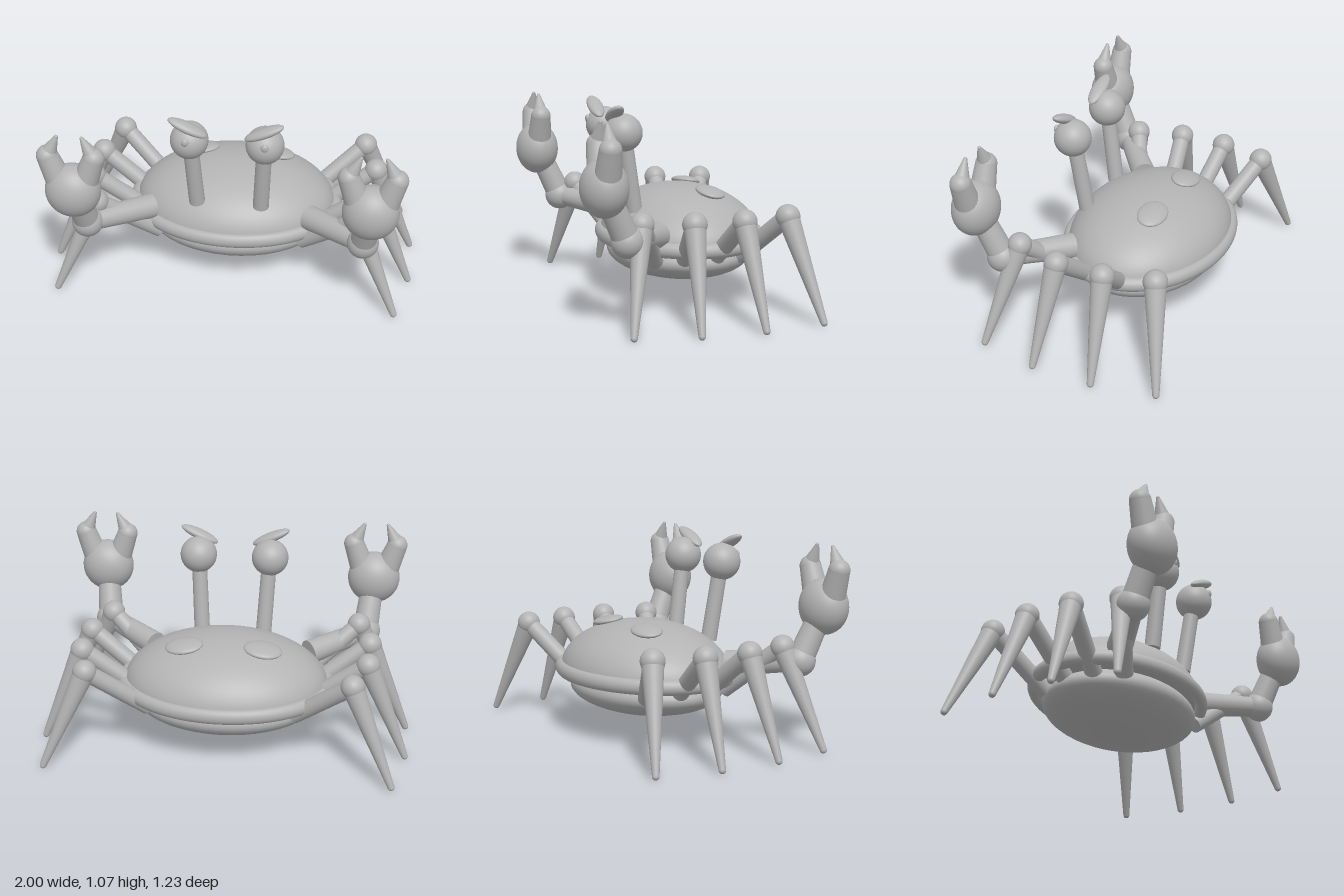
import * as THREE from 'three';

const V = (x, y, z) => new THREE.Vector3(x, y, z);

export function createModel() {
  const crab = new THREE.Group();
  crab.name = 'crab';
  const shellGrey = new THREE.MeshStandardMaterial({ color: 0xb3b3b3 });
  shellGrey.name = 'shell grey';

  function add(parent, name, geometry) {
    const mesh = new THREE.Mesh(geometry, shellGrey);
    mesh.name = name;
    parent.add(mesh);
    return mesh;
  }

  // Ellipsoid with the given centre and radii
  function ball(parent, name, centre, rx, ry = rx, rz = rx) {
    const mesh = add(parent, name, new THREE.SphereGeometry(1, 40, 28));
    mesh.position.copy(centre);
    mesh.scale.set(rx, ry, rz);
    return mesh;
  }

  // Tapered rod from a to b
  function rod(parent, name, a, b, ra, rb) {
    const dir = b.clone().sub(a);
    const mesh = add(parent, name, new THREE.CylinderGeometry(rb, ra, dir.length(), 32));
    mesh.position.copy(a).add(b).multiplyScalar(0.5);
    mesh.quaternion.setFromUnitVectors(V(0, 1, 0), dir.normalize());
    return mesh;
  }

  // Body: domed shell, closed underneath, with a rim and a belly
  const body = new THREE.Group();
  body.name = 'body';
  body.position.z = -0.127;
  crab.add(body);
  const dome = add(body, 'shellDome', new THREE.SphereGeometry(1, 64, 24, 0, Math.PI * 2, 0, Math.PI / 2));
  dome.position.y = 0.34;
  dome.scale.set(0.55, 0.27, 0.42);
  const floor = add(body, 'shellUnderside', new THREE.CircleGeometry(1, 64));
  floor.rotation.x = Math.PI / 2;
  floor.position.y = 0.34;
  floor.scale.set(0.55, 0.42, 1);
  const ring = new THREE.TorusGeometry(1, 0.075, 20, 80).rotateX(Math.PI / 2);
  const rim = add(body, 'shellRim', ring);
  rim.position.y = 0.34;
  rim.scale.set(0.548, 0.54, 0.418);
  ball(body, 'belly', V(0, 0.252, 0.007), 0.5, 0.14, 0.38);

  // Leg layout from front to back: hip, knee and foot
  const legs = [
    [V(0.39, 0.27, 0.13), V(0.695, 0.527, 0.288), V(0.915, 0.018, 0.393)],
    [V(0.43, 0.27, -0.02), V(0.765, 0.527, 0.037), V(0.98, 0.018, 0.07)],
    [V(0.43, 0.27, -0.18), V(0.765, 0.527, -0.225), V(0.98, 0.018, -0.264)],
    [V(0.39, 0.27, -0.34), V(0.695, 0.527, -0.484), V(0.915, 0.018, -0.597)],
  ];

  for (const s of [1, -1]) {
    const side = s > 0 ? 'left' : 'right';
    const P = (x, y, z) => V(s * x, y, z);
    const flip = (v) => P(v.x, v.y, v.z);

    // Shell spot
    const spot = ball(crab, side + 'ShellSpot', P(0.21, 0.588, -0.235), 0.103, 0.025, 0.077);
    spot.rotation.set(-0.16, 0, -s * 0.14);

    // Eye on its stalk
    const eye = new THREE.Group();
    eye.name = side + 'Eye';
    crab.add(eye);
    rod(eye, 'stalk', P(0.172, 0.5, 0.175), P(0.192, 0.87, 0.23), 0.043, 0.041);
    ball(eye, 'eyeball', P(0.197, 0.922, 0.24), 0.1);
    ball(eye, 'pupil', P(0.205, 0.957, 0.331), 0.02, 0.022, 0.013);
    const brow = ball(eye, 'brow', P(0.197, 1.022, 0.288), 0.11, 0.026, 0.043);
    brow.rotation.z = s * 0.42;

    // Claw arm
    const arm = new THREE.Group();
    arm.name = side + 'ClawArm';
    crab.add(arm);
    const elbow = P(0.73, 0.453, 0.372);
    const palm = P(0.762, 0.73, 0.496);
    rod(arm, 'upperArm', P(0.43, 0.415, 0.125), elbow, 0.068, 0.055);
    ball(arm, 'elbow', elbow, 0.083);
    rod(arm, 'forearm', elbow, palm, 0.07, 0.06);
    ball(arm, 'palm', palm, 0.145, 0.147, 0.12);
    for (const f of [1, -1]) {
      const joint = P(0.764 + f * 0.12, 0.928, 0.496);
      rod(arm, 'finger', P(0.764 + f * 0.07, 0.79, 0.496), joint, 0.068, 0.056);
      ball(arm, 'fingerJoint', joint, 0.056);
      const tip = P(0.764 + f * 0.065, 1.042, 0.496);
      rod(arm, 'fingerTip', joint, tip, 0.05, 0.01);
      ball(arm, 'fingerPoint', tip, 0.01);
    }

    // Walking legs
    legs.forEach((points, i) => {
      const [hip, knee, foot] = points.map(flip);
      const leg = new THREE.Group();
      leg.name = side + 'Leg' + (i + 1);
      crab.add(leg);
      rod(leg, 'thigh', hip, knee, 0.046, 0.046);
      ball(leg, 'knee', knee, 0.063);
      rod(leg, 'shin', knee, foot, 0.058, 0.018);
      ball(leg, 'foot', foot, 0.018);
    });
  }
  return crab;
}
